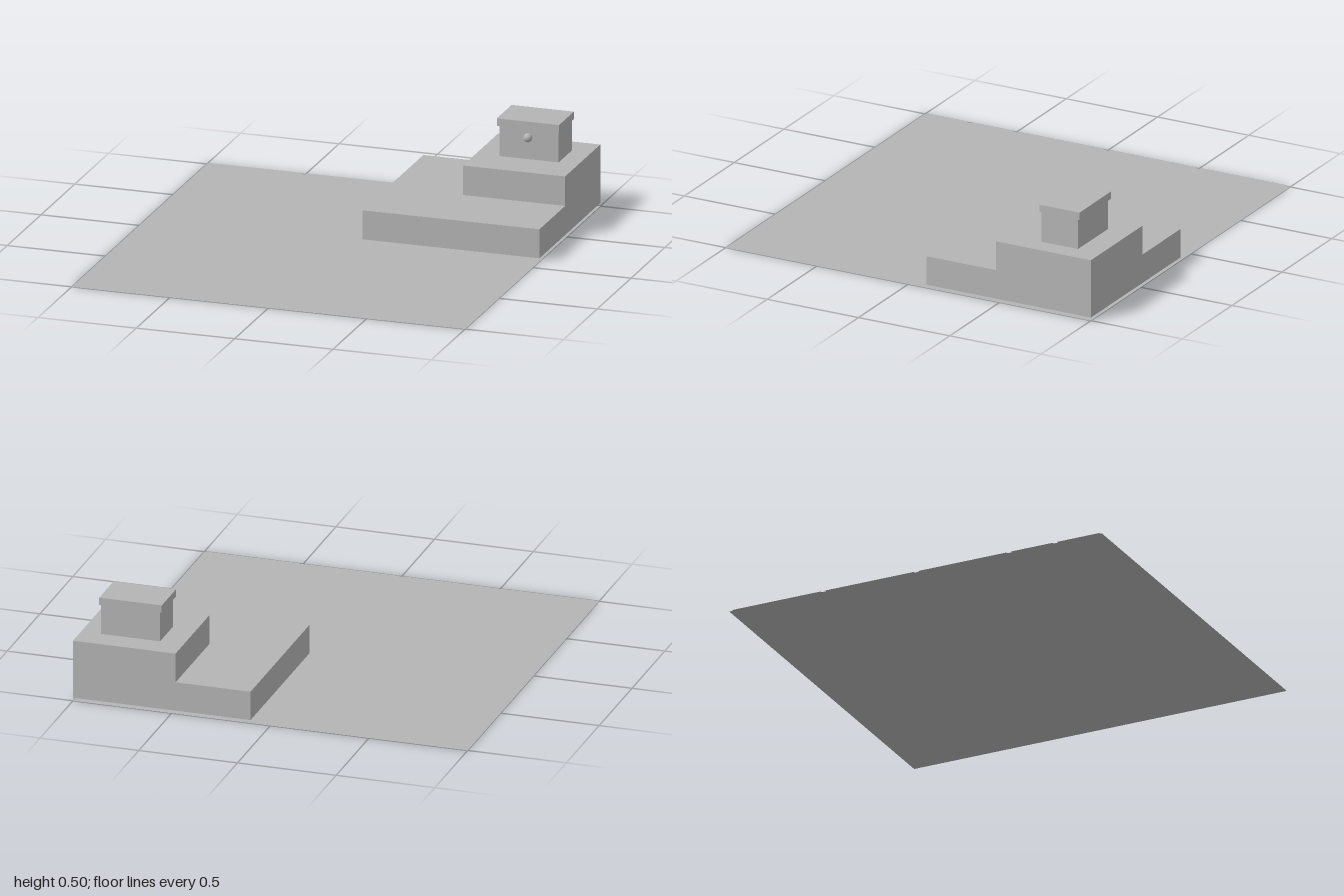
import * as THREE from 'three';

export function createModel() {
  const model = new THREE.Group();
  const stone = new THREE.MeshStandardMaterial({ color: 0xb4b4b4, side: THREE.DoubleSide });
  stone.name = 'grey stone';

  const add = (parent, name, geometry, x, y, z) => {
    const mesh = new THREE.Mesh(geometry, stone);
    mesh.name = name;
    mesh.position.set(x, y, z);
    parent.add(mesh);
    return mesh;
  };
  // Flat sheet from its back left corner
  const sheet = (parent, name, x, y, z, w, d) =>
    add(parent, name, new THREE.PlaneGeometry(w, d).rotateX(-Math.PI / 2), x + w / 2, y, z + d / 2);
  // Box from its extents
  const block = (name, x0, x1, y0, y1, z0, z1) =>
    add(model, name, new THREE.BoxGeometry(x1 - x0, y1 - y0, z1 - z0),
      (x0 + x1) / 2, (y0 + y1) / 2, (z0 + z1) / 2);

  // Floor sheet under the tiles
  sheet(model, 'floorBase', -1, 0, -1, 2, 2);

  // Paving: W = whole, X = halves side by side, Z = halves front and back
  const tiles = new THREE.Group();
  tiles.name = 'floorTiles';
  model.add(tiles);
  const layout = ['WWWW', 'WWWX', 'XWWW', 'ZZWZ'];
  const start = -0.99, pitch = 0.499, size = 0.475, half = 0.225, halfPitch = 0.25;
  layout.forEach((row, r) => [...row].forEach((kind, c) => {
    const x = start + c * pitch, z = start + r * pitch;
    const count = kind === 'W' ? 1 : 2;
    for (let i = 0; i < count; i++) {
      sheet(tiles, 'tile',
        x + (kind === 'X' ? i * halfPitch : 0), 0.01, z + (kind === 'Z' ? i * halfPitch : 0),
        kind === 'X' ? half : size, kind === 'Z' ? half : size);
    }
  }));

  // Stepped corner platform
  block('lowerStep', 0.1, 1, 0.016, 0.163, -1, -0.1);
  block('upperStep', 0.48, 1, 0.163, 0.312, -1, -0.48);

  // Chest with overhanging lid and a round latch
  block('chestBody', 0.6, 0.9, 0.312, 0.466, -0.875, -0.675);
  block('chestLid', 0.588, 0.905, 0.466, 0.504, -0.886, -0.667);
  add(model, 'chestLatch', new THREE.SphereGeometry(0.022, 16, 10), 0.747, 0.424, -0.664);

  return model;
}
